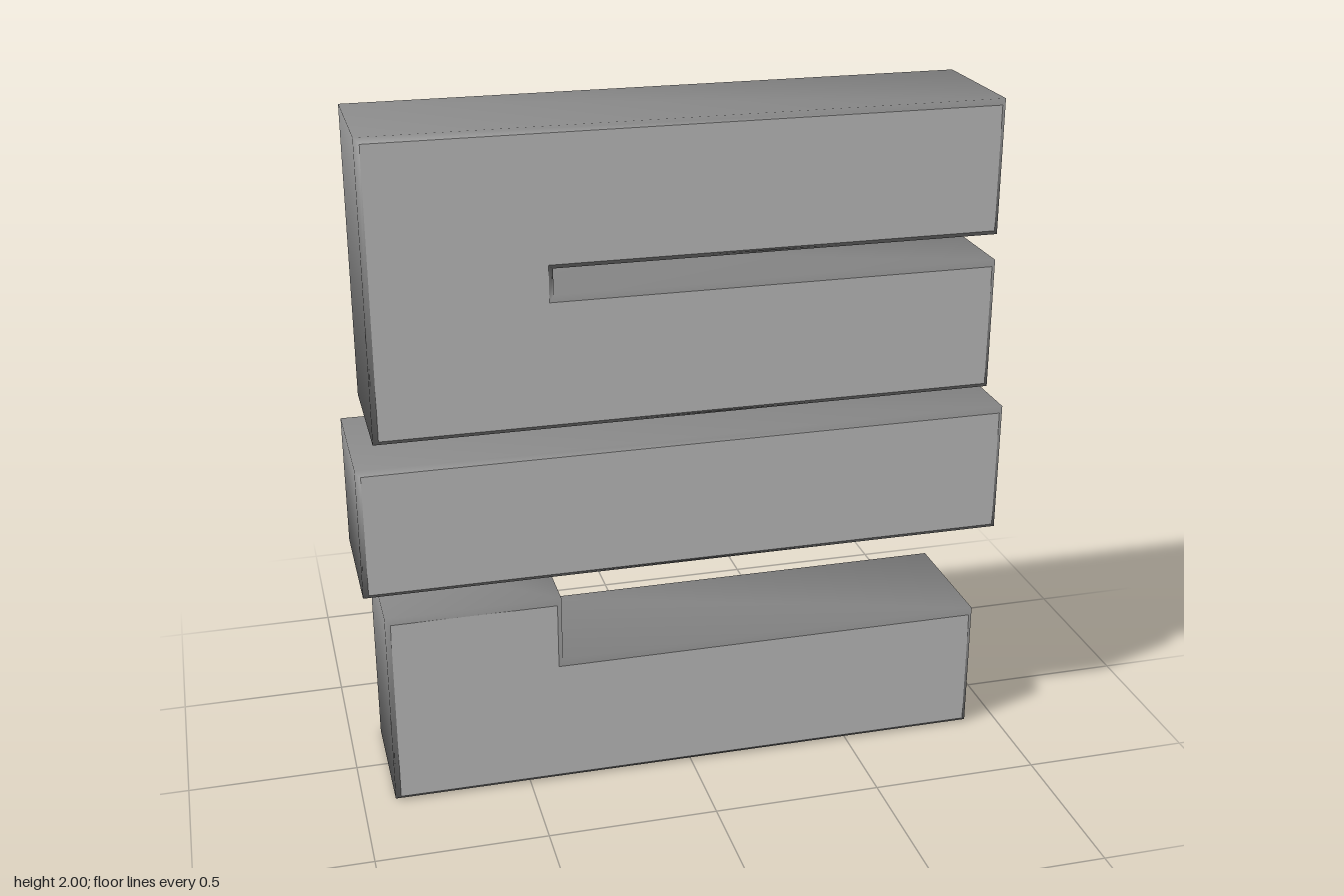
import * as THREE from 'three';
import { mergeVertices } from 'three/addons/utils/BufferGeometryUtils.js';

const HALF_DEPTH = 0.213;
const BEVEL = 0.015;

// Copy one material group of an extrusion into its own geometry
function extractGroup(geometry, { start, count }, smooth) {
  const positions = geometry.attributes.position.array.slice(start * 3, (start + count) * 3);
  let part = new THREE.BufferGeometry();
  part.setAttribute('position', new THREE.BufferAttribute(positions, 3));
  if (smooth) part = mergeVertices(part, 1e-4);
  part.computeVertexNormals();
  return part;
}

// Bevelled slab with flat light faces and a smooth dark rim
function makeSlab(name, outline, faceMaterial, rimMaterial) {
  const shape = new THREE.Shape(outline.map(([x, y]) => new THREE.Vector2(x, y)));
  const depth = 2 * (HALF_DEPTH - BEVEL);
  const solid = new THREE.ExtrudeGeometry(shape, {
    depth,
    bevelEnabled: true,
    bevelThickness: BEVEL,
    bevelSize: BEVEL,
    bevelOffset: -BEVEL,
    bevelSegments: 1,
  });
  solid.translate(0, 0, -depth / 2);

  const slab = new THREE.Group();
  slab.name = name;
  const faces = new THREE.Mesh(extractGroup(solid, solid.groups[0], false), faceMaterial);
  faces.name = name + 'Faces';
  const rim = new THREE.Mesh(extractGroup(solid, solid.groups[1], true), rimMaterial);
  rim.name = name + 'Rim';
  slab.add(faces, rim);
  return slab;
}

export function createModel() {
  const light = new THREE.MeshStandardMaterial({ color: 0xcccccc });
  light.name = 'light grey faces';
  const dark = new THREE.MeshStandardMaterial({ color: 0x888888 });
  dark.name = 'dark grey rim';

  const model = new THREE.Group();
  model.name = 'slabStack';

  const slabs = {
    // Block with a narrow slot open towards +x
    upperSlab: [
      [-0.905, 1.14], [0.905, 1.14], [0.905, 1.53], [-0.39, 1.53],
      [-0.39, 1.607], [0.905, 1.607], [0.905, 2], [-0.905, 2],
    ],
    // Plain, slightly wider bar
    middleBar: [[-0.96, 0.675], [0.96, 0.675], [0.96, 1.07], [-0.96, 1.07]],
    // Base with a raised step at -x
    lowerSlab: [
      [-0.905, 0], [0.905, 0], [0.905, 0.4],
      [-0.39, 0.4], [-0.39, 0.602], [-0.905, 0.602],
    ],
  };
  for (const [name, outline] of Object.entries(slabs)) {
    model.add(makeSlab(name, outline, light, dark));
  }
  return model;
}
